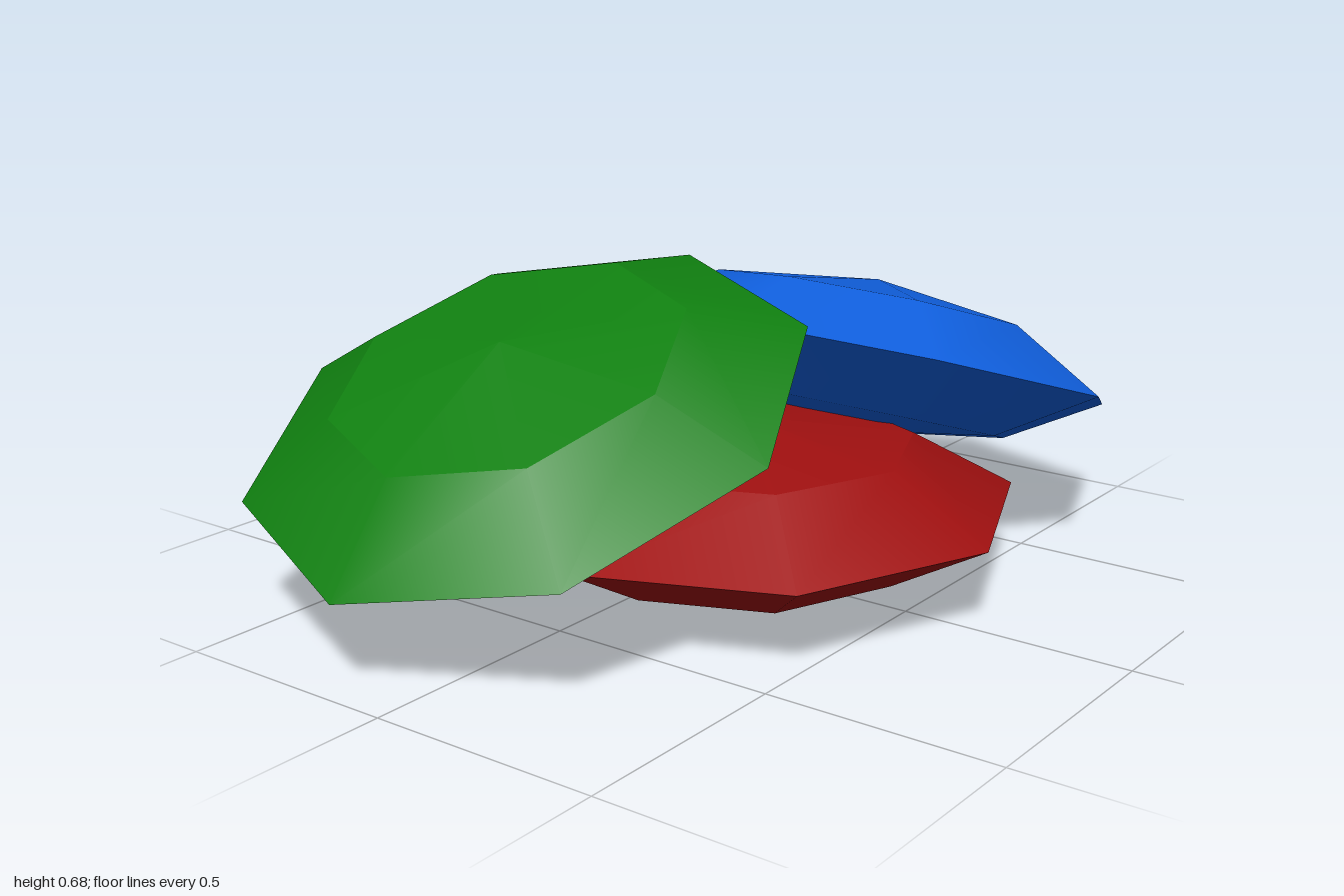
import * as THREE from 'three';
import { mergeGeometries } from 'three/addons/utils/BufferGeometryUtils.js';

// Half-profile of one disc, from bottom point to top point: [radius, height]
const PROFILE = [[0, -0.176], [0.365, -0.123], [0.586, 0], [0.365, 0.123], [0, 0.176]];
const SIDES = 8;

// Faceted lens: each band is smooth around, with sharp edges between bands
function lensGeometry() {
  const bands = [];
  for (let i = 0; i < PROFILE.length - 1; i++) {
    const [r0, y0] = PROFILE[i];
    const [r1, y1] = PROFILE[i + 1];
    const band = new THREE.CylinderGeometry(r1, r0, y1 - y0, SIDES, 1, true);
    band.translate(0, (y0 + y1) / 2, 0);
    bands.push(band);
  }
  return mergeGeometries(bands);
}

export function createModel() {
  const group = new THREE.Group();
  group.name = 'discPile';
  const geometry = lensGeometry();

  // The flat bottom disc and the two tilted discs leaning over it
  const discs = [
    { name: 'redDisc', color: 0xa01010, position: [0.107, 0.177, 0.017], tilt: 0 },
    { name: 'greenDisc', color: 0x108010, position: [-0.11, 0.424, 0.462], tilt: 0.406 },
    { name: 'blueDisc', color: 0x1060e0, position: [0.107, 0.388, -0.445], tilt: -0.336 },
  ];
  for (const { name, color, position, tilt } of discs) {
    const disc = new THREE.Mesh(geometry, new THREE.MeshStandardMaterial({ color }));
    disc.name = name;
    disc.position.set(...position);
    disc.rotation.x = tilt;
    group.add(disc);
  }
  return group;
}
